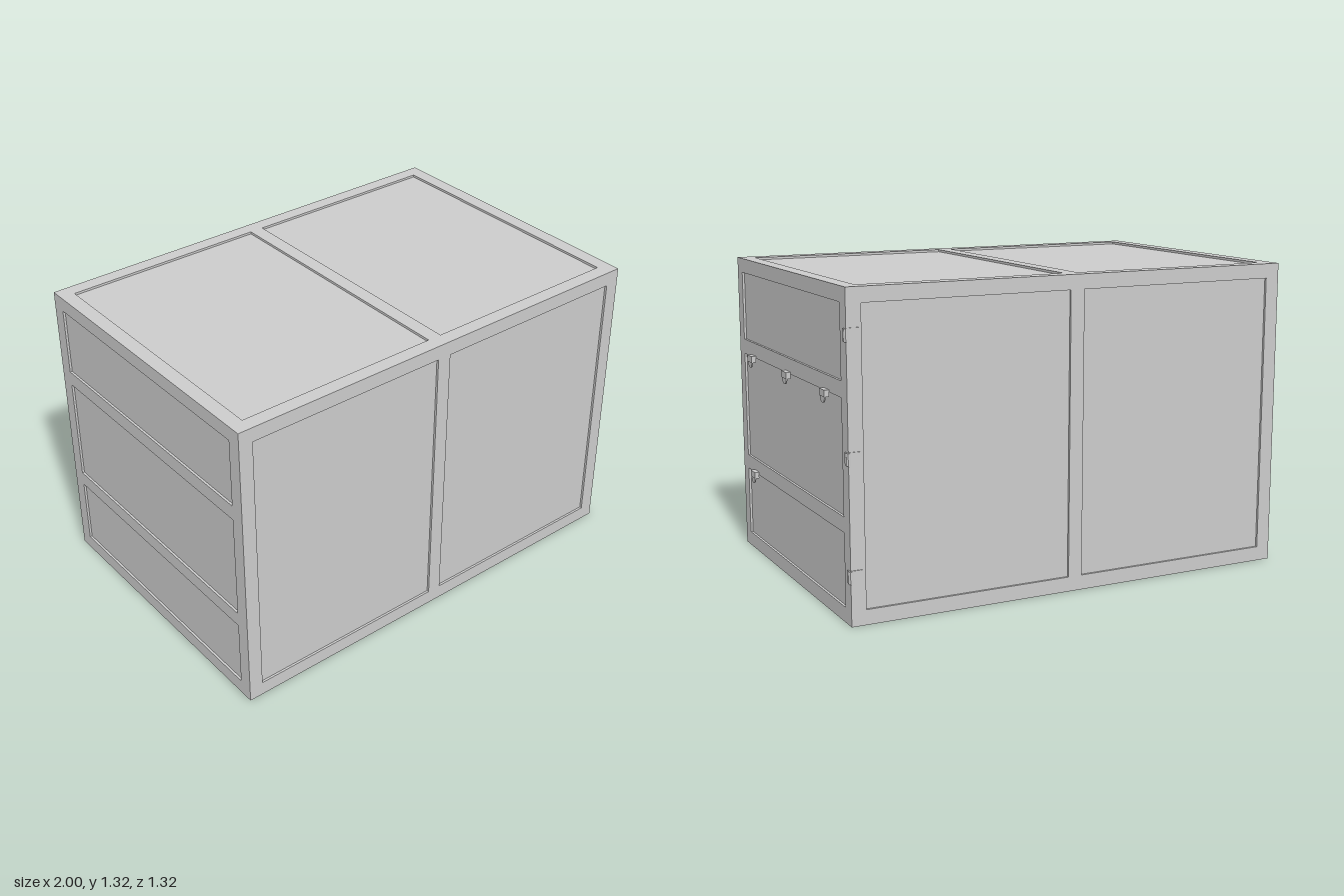
import * as THREE from 'three';

const material = new THREE.MeshStandardMaterial({ color: 0xcccccc, flatShading: true });
const X0 = -1, X1 = 0.98, Y0 = 0.005, Y1 = 1.32, Z0 = -0.656, Z1 = 0.662;
const W = X1 - X0, H = Y1 - Y0, D = Z1 - Z0;
const CX = (X0 + X1) / 2, CY = (Y0 + Y1) / 2, CZ = (Z0 + Z1) / 2;
const RAIL = 0.062, DEPTH = 0.01;

function add(parent, name, geometry, x = 0, y = 0, z = 0) {
  const mesh = new THREE.Mesh(geometry, material);
  mesh.name = name;
  mesh.position.set(x, y, z);
  parent.add(mesh);
  return mesh;
}

function rect(path, x0, y0, x1, y1) {
  path.moveTo(x0, y0);
  path.lineTo(x1, y0);
  path.lineTo(x1, y1);
  path.lineTo(x0, y1);
  path.closePath();
  return path;
}

// Flat frame centred on the origin; its outer face lies at z = 0
function frameGeometry(w, h, openings) {
  const shape = rect(new THREE.Shape(), -w / 2, -h / 2, w / 2, h / 2);
  for (const o of openings) shape.holes.push(rect(new THREE.Path(), ...o));
  const geometry = new THREE.ExtrudeGeometry(shape, { depth: DEPTH, bevelEnabled: false });
  return geometry.translate(0, 0, -DEPTH);
}

// Two equal openings on either side of a central upright
function pairOfOpenings(w, h) {
  const x = w / 2 - RAIL, y = h / 2 - RAIL, m = RAIL / 2;
  return [[-x, -y, -m, y], [m, -y, x, y]];
}

// Snap latch: block with a thin rounded tongue
function latch(y, z) {
  const group = new THREE.Group();
  group.name = 'latch';
  add(group, 'latchBlock', new THREE.BoxGeometry(0.02, 0.028, 0.058), 0.01, 0, 0);
  const tongue = new THREE.Shape();
  tongue.absarc(0, 0, 0.026, Math.PI, Math.PI * 2, false);
  tongue.closePath();
  const geometry = new THREE.ExtrudeGeometry(tongue, { depth: 0.005, bevelEnabled: false, curveSegments: 10 });
  add(group, 'latchTongue', geometry, 0.013, -0.013, 0).rotation.y = Math.PI / 2;
  group.position.set(X1, y, z);
  return group;
}

// Corner hinge: barrel with a leaf on each face
function hinge(y) {
  const group = new THREE.Group();
  group.name = 'hinge';
  add(group, 'hingeBarrel', new THREE.CylinderGeometry(0.011, 0.011, 0.05, 12), X1 - 0.003, 0, Z0 + 0.005);
  add(group, 'backLeaf', new THREE.BoxGeometry(0.05, 0.056, 0.006), X1 - 0.025, 0, Z0 - 0.001);
  add(group, 'sideLeaf', new THREE.BoxGeometry(0.006, 0.05, 0.03), X1 + 0.001, 0, Z0 + 0.014);
  group.position.y = y;
  return group;
}

export function createModel() {
  const model = new THREE.Group();
  model.name = 'storageCrate';

  // Recessed panels are the faces of the inner box
  add(model, 'panels', new THREE.BoxGeometry(W - 2 * DEPTH, H - 2 * DEPTH, D - 2 * DEPTH), CX, CY, CZ);

  // Front and back frames
  const wide = frameGeometry(W, H, pairOfOpenings(W, H));
  add(model, 'frontFrame', wide, CX, CY, Z1);
  add(model, 'backFrame', wide, CX, CY, Z0).rotation.y = Math.PI;

  // Top and bottom frames
  const flat = frameGeometry(W, D, pairOfOpenings(W, D));
  add(model, 'topFrame', flat, CX, Y1, CZ).rotation.x = -Math.PI / 2;
  add(model, 'bottomFrame', flat, CX, Y0, CZ).rotation.x = Math.PI / 2;

  // End frames with three stacked openings
  const z = D / 2 - RAIL;
  const rows = [[0.067, 0.367], [0.43, 0.895], [0.96, 1.258]];
  const end = frameGeometry(D, H, rows.map(([a, b]) => [-z, a - CY, z, b - CY]));
  add(model, 'leftEndFrame', end, X1, CY, CZ).rotation.y = Math.PI / 2;
  add(model, 'rightEndFrame', end, X0, CY, CZ).rotation.y = -Math.PI / 2;

  // Hardware
  for (const [y, lz] of [[0.89, 0.472], [0.89, 0.013], [0.89, -0.435], [0.366, 0.479]]) model.add(latch(y, lz));
  for (const y of [1.14, 0.667, 0.203]) model.add(hinge(y));

  return model;
}
